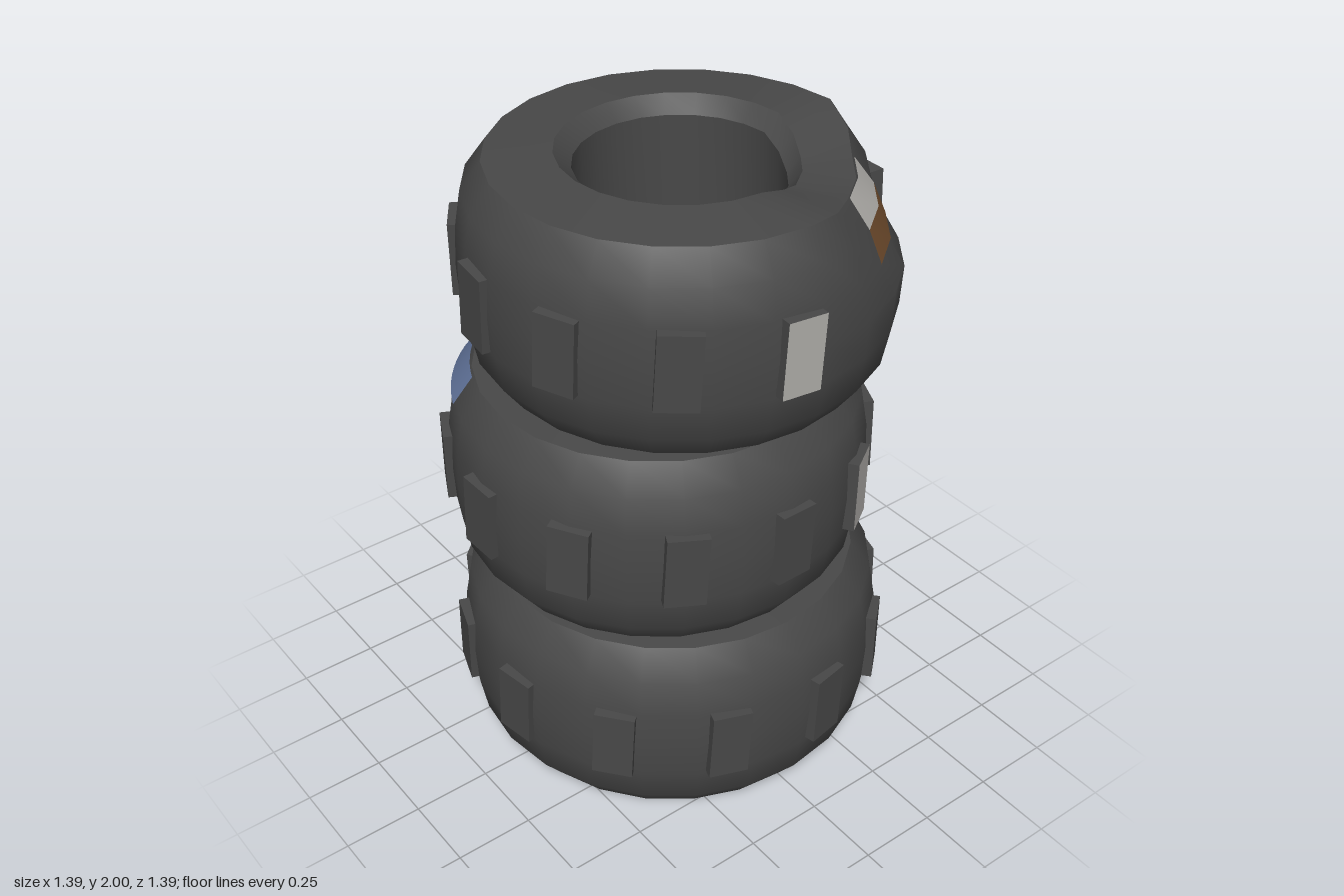
import * as THREE from 'three';
import { toCreasedNormals } from 'three/addons/utils/BufferGeometryUtils.js';

const rad = THREE.MathUtils.degToRad;
const mat = (name, color) => {
  const m = new THREE.MeshStandardMaterial({ color });
  m.name = name;
  return m;
};

// Half section of the tyre, from the hole wall round the outside
const HALF = 0.333;
const SHOULDER = [[0.617, 0.235], [0.555, 0.32]];
const SIDE = [[0.617, 0.235], [0.637, 0.12]];
const UPPER = [[0.643, 0], [0.637, 0.12], ...SHOULDER, [0.355, HALF], [0.305, 0.285]];

// Push in the front left shoulder of a tyre around 45 degrees
function dent(geo) {
  const p = geo.attributes.position;
  for (let i = 0; i < p.count; i++) {
    const x = p.getX(i), y = p.getY(i), z = p.getZ(i);
    const r = Math.hypot(x, z), off = Math.abs(Math.atan2(x, z) - rad(45));
    const around = THREE.MathUtils.clamp((rad(45) - off) / rad(30), 0, 1);
    const w = around * THREE.MathUtils.smoothstep(y, 0, 0.2);
    const pull = 0.065 * w * THREE.MathUtils.clamp((r - 0.3) / 0.25, 0, 1);
    p.setXYZ(i, x * (1 - pull / r), y - 0.055 * w, z * (1 - pull / r));
  }
  return geo;
}

function tyreGeometry(scale, dented) {
  const lower = UPPER.slice(1).reverse().map(([r, y]) => [r, -y]);
  const ring = [...lower, ...UPPER, lower[0]];
  const geo = new THREE.LatheGeometry(ring.map(([r, y]) => new THREE.Vector2(r * scale, y)), 24);
  return toCreasedNormals(dented ? dent(geo) : geo, rad(35));
}

// Thin painted strip lying just above the tyre surface
function patch(name, profile, from, to, segments, material, dented) {
  const pts = profile.map(([r, y]) => new THREE.Vector2(r + 0.005, y + 0.004));
  const geo = new THREE.LatheGeometry(pts, segments, rad(from), rad(to - from));
  if (dented) {
    dent(geo);
    geo.computeVertexNormals();
  }
  const mesh = new THREE.Mesh(geo, material);
  mesh.name = name;
  return mesh;
}

export function createModel() {
  const rubber = mat('dark rubber', 0x484848);
  const grey = mat('light grey paint', 0xb2b0ac);
  const brown = mat('brown paint', 0x744f2f);
  const blue = mat('blue paint', 0x64779f);

  const model = new THREE.Group();
  model.name = 'tyreStack';

  const tyres = [
    { name: 'bottomTyre', pos: [0, HALF, 0], scale: 1.045, start: 8, painted: [2, 3], missing: [] },
    { name: 'middleTyre', pos: [-0.033, 1, -0.02], scale: 1, start: 0, painted: [1], missing: [] },
    { name: 'topTyre', pos: [0.02, 1.667, 0.02], scale: 1, start: -8, painted: [0], missing: [1, 2], dented: true },
  ];
  const blockGeo = new THREE.BoxGeometry(0.125, 0.235, 0.05);

  const groups = tyres.map((t) => {
    const tyre = new THREE.Group();
    tyre.name = t.name;
    tyre.position.set(...t.pos);
    const body = new THREE.Mesh(tyreGeometry(t.scale, t.dented), rubber);
    body.name = 'tyreBody';
    tyre.add(body);

    // Twelve slightly twisted tread blocks, some with painted faces
    for (let i = 0; i < 12; i++) {
      if (t.missing.includes(i)) continue;
      const angle = rad(t.start + 30 * i), r = 0.635 * t.scale;
      const face = t.painted.includes(i) ? grey : rubber;
      const block = new THREE.Mesh(blockGeo, [rubber, rubber, rubber, rubber, face, rubber]);
      block.name = 'treadBlock';
      block.position.set(r * Math.sin(angle), 0.004, r * Math.cos(angle));
      block.rotation.set(0, angle + 0.06, -0.05, 'YXZ');
      tyre.add(block);
    }
    model.add(tyre);
    return tyre;
  });

  // Painted strips on the shoulders
  groups[1].add(
    patch('shortBlueStrip', SHOULDER, 217, 247, 8, blue),
    patch('longBlueStrip', SHOULDER, 126, 190, 16, blue),
  );
  groups[2].add(
    patch('greyDentPatch', SHOULDER, 30, 60, 2, grey, true),
    patch('brownDentPatch', [...SIDE].reverse(), 30, 60, 2, brown, true),
  );
  return model;
}
